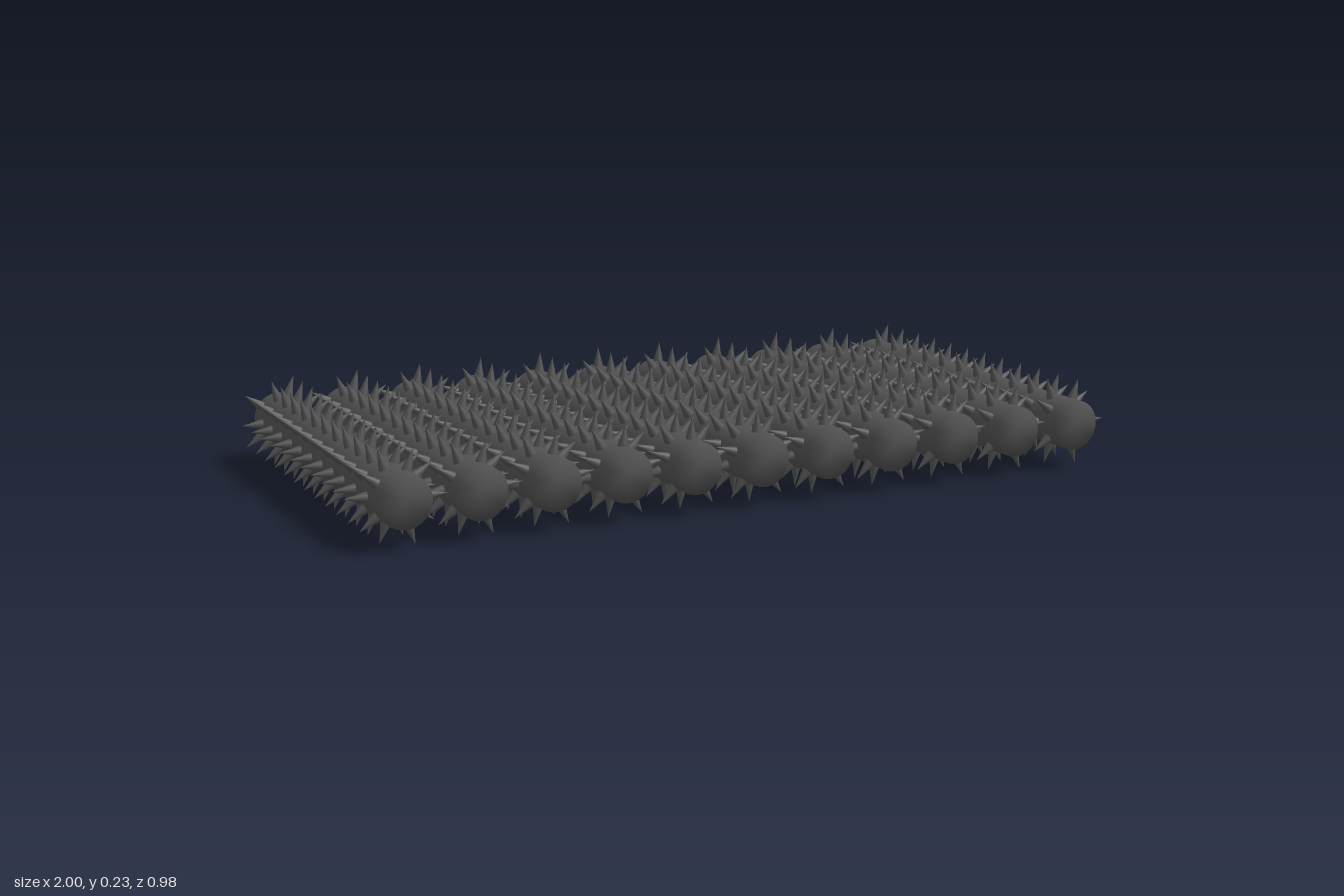
import * as THREE from 'three';
import { mergeGeometries } from 'three/addons/utils/BufferGeometryUtils.js';

const ROLLERS = 11, PITCH = 0.177;
const RADIUS = 0.063, HALF = 0.49, REACH = 0.115;
const STEP = 0.083, AXIS_Y = 0.115;

const lathe = (pts, segments) =>
  new THREE.LatheGeometry(pts.map(([x, y]) => new THREE.Vector2(x, y)), segments);

// Slightly flared spike, pointing along +x from the roller surface
function spikeGeometry() {
  const g = lathe([
    [0.0135, RADIUS - 0.005], [0.0115, RADIUS + 0.007],
    [0.0065, RADIUS + 0.026], [0, REACH],
  ], 10);
  return g.rotateZ(-Math.PI / 2);
}

// Two interleaved sets of five-spike rings, the second turned by half a step
function spikesGeometry() {
  const spike = spikeGeometry();
  const parts = [];
  const sets = [
    { count: 12, z: 0.447, turn: 0 },
    { count: 11, z: 0.411, turn: Math.PI / 5 },
  ];
  for (const { count, z, turn } of sets) {
    for (let i = 0; i < count; i++) {
      for (let k = 0; k < 5; k++) {
        parts.push(spike.clone()
          .rotateZ(turn + k * Math.PI * 2 / 5)
          .translate(0, 0, z - i * STEP));
      }
    }
  }
  return mergeGeometries(parts);
}

export function createModel() {
  const model = new THREE.Group();
  model.name = 'spikedRollerBed';
  const material = new THREE.MeshStandardMaterial({ color: 0x505050 });

  // Closed drum with softly shaded ends
  const drumGeo = lathe([[0, -HALF], [RADIUS, -HALF], [RADIUS, HALF], [0, HALF]], 32);
  drumGeo.rotateX(Math.PI / 2);
  const spikesGeo = spikesGeometry();

  // Row of parallel rollers, turned a little more towards the middle
  const mid = (ROLLERS - 1) / 2;
  for (let i = 0; i < ROLLERS; i++) {
    const roller = new THREE.Group();
    roller.name = `roller${i + 1}`;
    const drum = new THREE.Mesh(drumGeo, material);
    drum.name = 'drum';
    const spikes = new THREE.Mesh(spikesGeo, material);
    spikes.name = 'spikes';
    roller.add(drum, spikes);
    roller.position.set((i - mid) * PITCH, AXIS_Y, 0);
    roller.rotation.z = (Math.PI / 10) * (1 - Math.abs(i - mid) / mid);
    model.add(roller);
  }
  return model;
}
